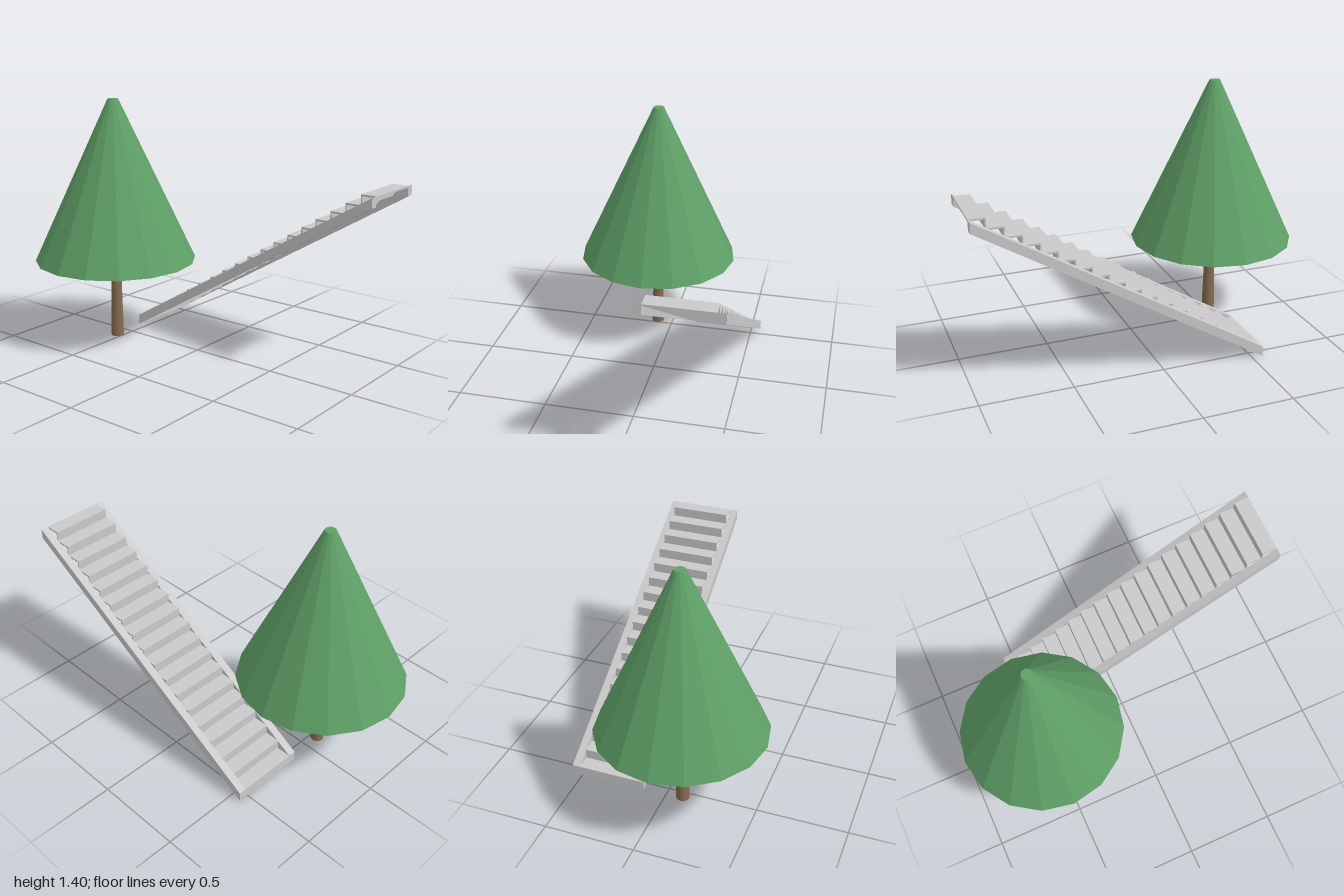
import * as THREE from 'three';

const green = new THREE.MeshStandardMaterial({ name: 'foliage green', color: 0x5fa067, flatShading: true });
const brown = new THREE.MeshStandardMaterial({ name: 'bark brown', color: 0x866b4f, flatShading: true });
const grey = new THREE.MeshStandardMaterial({ name: 'stair grey', color: 0xcacaca, flatShading: true });

function add(parent, name, geometry, material, x, y, z) {
  const mesh = new THREE.Mesh(geometry, material);
  mesh.name = name;
  mesh.position.set(x, y, z);
  parent.add(mesh);
  return mesh;
}

function createTree() {
  const tree = new THREE.Group();
  tree.name = 'tree';
  tree.position.set(-0.536, 0, 0.092);
  add(tree, 'trunk', new THREE.CylinderGeometry(0.027, 0.037, 0.47, 16), brown, 0, 0.235, 0);
  add(tree, 'foliage', new THREE.CylinderGeometry(0.03, 0.464, 0.93, 16), green, 0, 0.935, 0);
  return tree;
}

function createStairs() {
  const stairs = new THREE.Group();
  stairs.name = 'stairs';
  const steps = 18, x0 = -0.562, x1 = 1, zNear = -0.127, zFar = -0.556, side = 0.043;
  const run = (x1 - x0) / steps, rise = 1 / steps, thick = 0.01, riserThick = 0.007;
  const width = zNear - zFar - 2 * side, zMid = (zNear + zFar) / 2;

  // Sloping side beams with upright ends
  const outline = new THREE.Shape([
    new THREE.Vector2(x0, 0), new THREE.Vector2(x1, 1 - rise),
    new THREE.Vector2(x1, 1), new THREE.Vector2(x0, rise),
  ]);
  const beam = new THREE.ExtrudeGeometry(outline, { depth: side, bevelEnabled: false });
  add(stairs, 'leftBeam', beam, grey, 0, 0, zFar);
  add(stairs, 'rightBeam', beam, grey, 0, 0, zNear - side);

  // Thin treads, each carried by an upright riser at its front edge
  const tread = new THREE.BoxGeometry(run, thick, width);
  const riser = new THREE.BoxGeometry(riserThick, rise - thick, width);
  for (let i = 0; i < steps; i++) {
    const x = x0 + i * run, top = (i + 1) * rise;
    add(stairs, 'tread', tread, grey, x + run / 2, top - thick / 2, zMid);
    add(stairs, 'riser', riser, grey, x + riserThick / 2, i * rise + (rise - thick) / 2, zMid);
  }
  return stairs;
}

export function createModel() {
  const model = new THREE.Group();
  model.name = 'treeAndStairs';
  model.add(createTree(), createStairs());
  return model;
}
